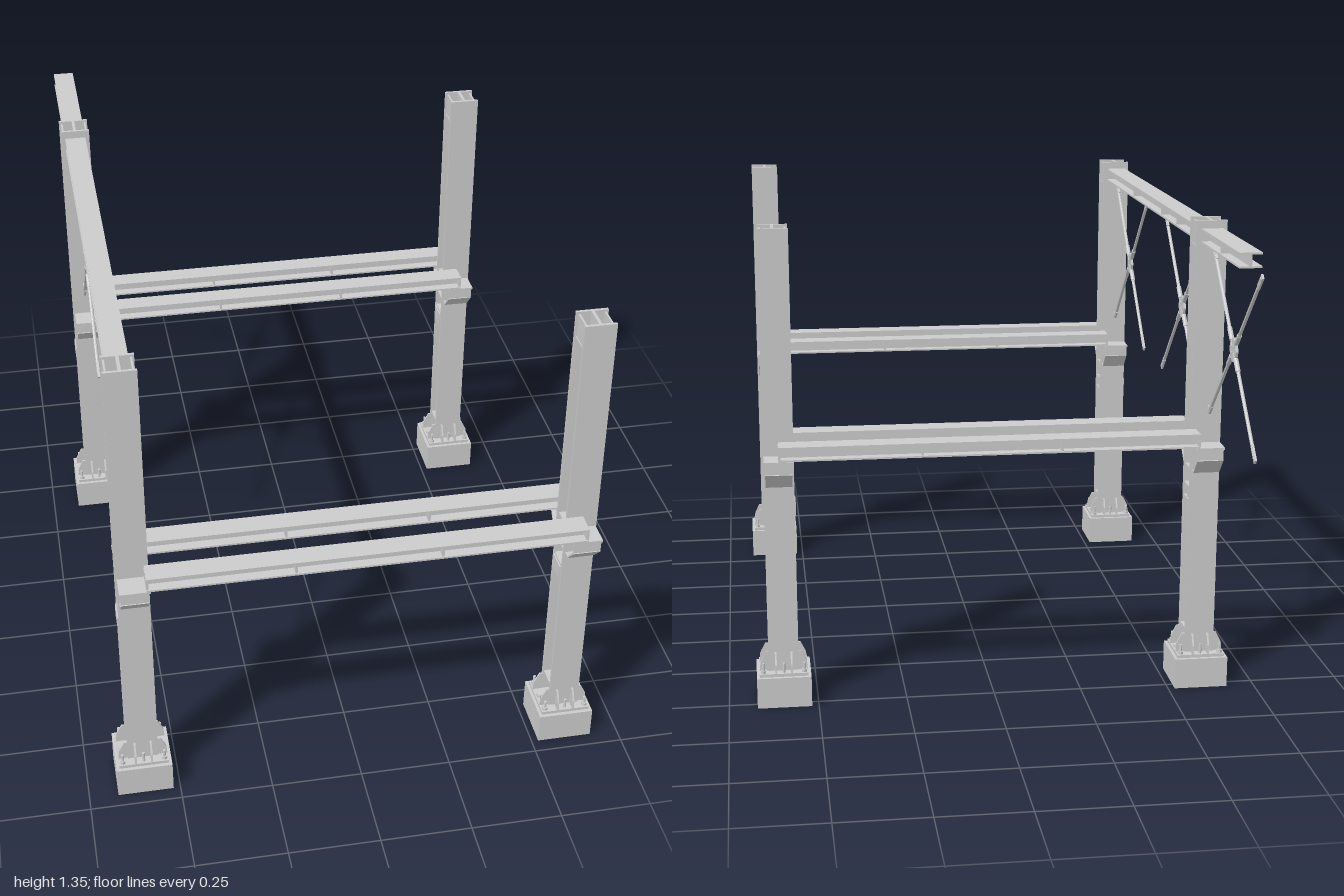
import * as THREE from 'three';

const grey = new THREE.MeshStandardMaterial({ color: 0xcccccc, flatShading: true });

function add(parent, name, geometry, x = 0, y = 0, z = 0) {
  const mesh = new THREE.Mesh(geometry, grey);
  mesh.name = name;
  mesh.position.set(x, y, z);
  parent.add(mesh);
  return mesh;
}
const box = (parent, name, w, h, d, x, y, z) =>
  add(parent, name, new THREE.BoxGeometry(w, h, d), x, y, z);

// Flat plate cut from a polygon, centred on its thickness
function plate(points, thickness) {
  const shape = new THREE.Shape(points.map(p => new THREE.Vector2(...p)));
  return new THREE.ExtrudeGeometry(shape, { depth: thickness, bevelEnabled: false })
    .translate(0, 0, -thickness / 2);
}

// I-section outline: flanges lie along the first axis
function iShape(width, height, flange, web) {
  const a = width / 2, b = height / 2, c = b - flange, w = web / 2;
  return [[-a, -b], [a, -b], [a, -c], [w, -c], [w, c], [a, c],
    [a, b], [-a, b], [-a, c], [-w, c], [-w, -c], [-a, -c]];
}

// Horizontal I-beam along z with pairs of web stiffeners
function iBeam(name, length, stiffeners) {
  const g = new THREE.Group();
  g.name = name;
  add(g, 'beamSection', plate(iShape(0.06, 0.04, 0.005, 0.006), length));
  for (const s of stiffeners)
    for (const side of [-1, 1])
      box(g, 'webStiffener', 0.024, 0.03, 0.006, side * 0.015, 0, s);
  return g;
}

// Concrete block, base plate, fins and anchor bolts
function footing() {
  const g = new THREE.Group();
  g.name = 'footing';
  box(g, 'concreteBlock', 0.152, 0.088, 0.152, 0, 0.044, 0);
  box(g, 'basePlate', 0.136, 0.009, 0.132, 0, 0.0925, 0);
  const fin = plate([[0, 0], [0.027, 0], [0.025, 0.025], [0.01, 0.055], [0, 0.055]], 0.005);
  for (const s of [-1, 1]) {
    for (const t of [-1, 1]) {
      const side = add(g, 'sideFin', fin, s * 0.04, 0.097, t * 0.034);
      side.rotation.y = s > 0 ? 0 : Math.PI;
      const face = add(g, 'faceFin', fin, t * 0.022, 0.097, s * 0.039);
      face.rotation.y = -s * Math.PI / 2;
      add(g, 'anchorBolt', new THREE.CylinderGeometry(0.004, 0.004, 0.03, 8), s * 0.057, 0.11, t * 0.054);
      add(g, 'anchorNut', new THREE.CylinderGeometry(0.008, 0.008, 0.008, 6), s * 0.057, 0.101, t * 0.054);
    }
    add(g, 'anchorNut', new THREE.CylinderGeometry(0.008, 0.008, 0.008, 6), s * 0.057, 0.101, 0);
    add(g, 'anchorBolt', new THREE.CylinderGeometry(0.004, 0.004, 0.03, 8), 0, 0.11, s * 0.055);
  }
  return g;
}

// Corbel that carries a beam, projecting along +z from the column face
function corbel() {
  const g = new THREE.Group();
  g.name = 'corbel';
  const web = add(g, 'corbelWeb',
    plate([[0, 0.64], [0.02, 0.64], [0.062, 0.685], [0.062, 0.72], [0, 0.72]], 0.008));
  web.rotation.y = -Math.PI / 2;
  box(g, 'corbelTop', 0.08, 0.006, 0.066, 0, 0.718, 0.033);
  box(g, 'corbelEnd', 0.074, 0.034, 0.005, 0, 0.702, 0.06);
  box(g, 'corbelFoot', 0.074, 0.005, 0.021, 0, 0.6405, 0.0105);
  const slope = box(g, 'corbelSlope', 0.074, 0.005, 0.062, 0, 0.663, 0.041);
  slope.rotation.x = -Math.atan2(0.045, 0.042);
  return g;
}

// H-section column, flanges facing front and back
function column() {
  const g = new THREE.Group();
  g.name = 'column';
  g.add(footing());
  const section = add(g, 'columnSection',
    plate(iShape(0.084, 0.08, 0.008, 0.008), 1.248), 0, 0.721, 0);
  section.rotation.x = -Math.PI / 2;
  for (const s of [-1, 1]) {
    for (const y of [0.16, 0.64, 0.72, 1.272])
      box(g, 'columnStiffener', 0.035, 0.006, 0.066, s * 0.021, y, 0);
    // Closing plates at the head
    box(g, 'headPlate', 0.005, 0.068, 0.066, s * 0.034, 1.305, 0);
    // Small connection pocket in the web
    for (const y of [0.548, 0.587])
      box(g, 'pocketShelf', 0.037, 0.005, 0.066, s * 0.0215, y, 0);
    box(g, 'pocketRib', 0.034, 0.04, 0.005, s * 0.021, 0.567, 0);
    const c = corbel();
    c.position.z = s * 0.039;
    c.rotation.y = s > 0 ? 0 : Math.PI;
    g.add(c);
  }
  box(g, 'pocketPlate', 0.004, 0.04, 0.06, -0.043, 0.566, 0);
  return g;
}

// X brace in the plane of the long beam
function crossBrace(z) {
  const g = new THREE.Group();
  g.name = 'crossBrace';
  g.position.set(-0.6, 1.04, z);
  const hub = add(g, 'hubPlate', new THREE.CylinderGeometry(0.033, 0.033, 0.007, 8));
  hub.rotation.z = Math.PI / 2;
  const hubRing = add(g, 'hubRing', new THREE.TorusGeometry(0.021, 0.004, 6, 20));
  hubRing.rotation.y = Math.PI / 2;
  const length = Math.hypot(0.247, 0.24);
  for (const sy of [-1, 1]) for (const sz of [-1, 1]) {
    const arm = new THREE.Group();
    arm.name = 'braceArm';
    arm.rotation.x = Math.atan2(sz * 0.247, sy * 0.24);
    add(arm, 'rod', new THREE.CylinderGeometry(0.005, 0.005, length - 0.02, 8), 0, length / 2, 0);
    box(arm, 'endPlate', 0.006, 0.05, 0.014, 0, length - 0.027, 0);
    add(arm, 'turnbuckle', new THREE.CylinderGeometry(0.007, 0.007, 0.04, 8), 0, 0.05, 0);
    g.add(arm);
  }
  return g;
}

export function createModel() {
  const model = new THREE.Group();
  model.name = 'steelFrame';
  const frameZ = [0.885, -0.455];

  // Two portals: a pair of columns with twin cross beams
  for (const z of frameZ) {
    for (const x of [-0.595, 0.595]) {
      const c = column();
      c.position.set(x, 0, z);
      model.add(c);
    }
    for (const s of [-1, 1]) {
      const b = iBeam('crossBeam', 1.16, [-0.578, -0.195, 0.19, 0.578]);
      b.rotation.y = Math.PI / 2;
      b.position.set(0.015, 0.742, z + s * 0.0765);
      model.add(b);
    }
  }

  // Upper beam in two lengths along the right side
  for (const [from, to, ribs] of [[-0.415, 0.845, [-0.4, -0.2, 0.2]], [-0.895, -0.495, [0]]]) {
    const b = iBeam('upperBeam', to - from, ribs);
    b.position.set(-0.595, 1.303, (from + to) / 2);
    model.add(b);
  }

  // Bracing, with lugs on the column faces
  for (const z of [0.598, -0.152, -0.743]) model.add(crossBrace(z));
  for (const [z, s] of [[0.845, -1], [-0.415, 1], [-0.495, -1]])
    for (const y of [0.81, 1.265])
      box(model, 'braceLug', 0.006, 0.035, 0.02, -0.6, y, z + s * 0.008);

  return model;
}
